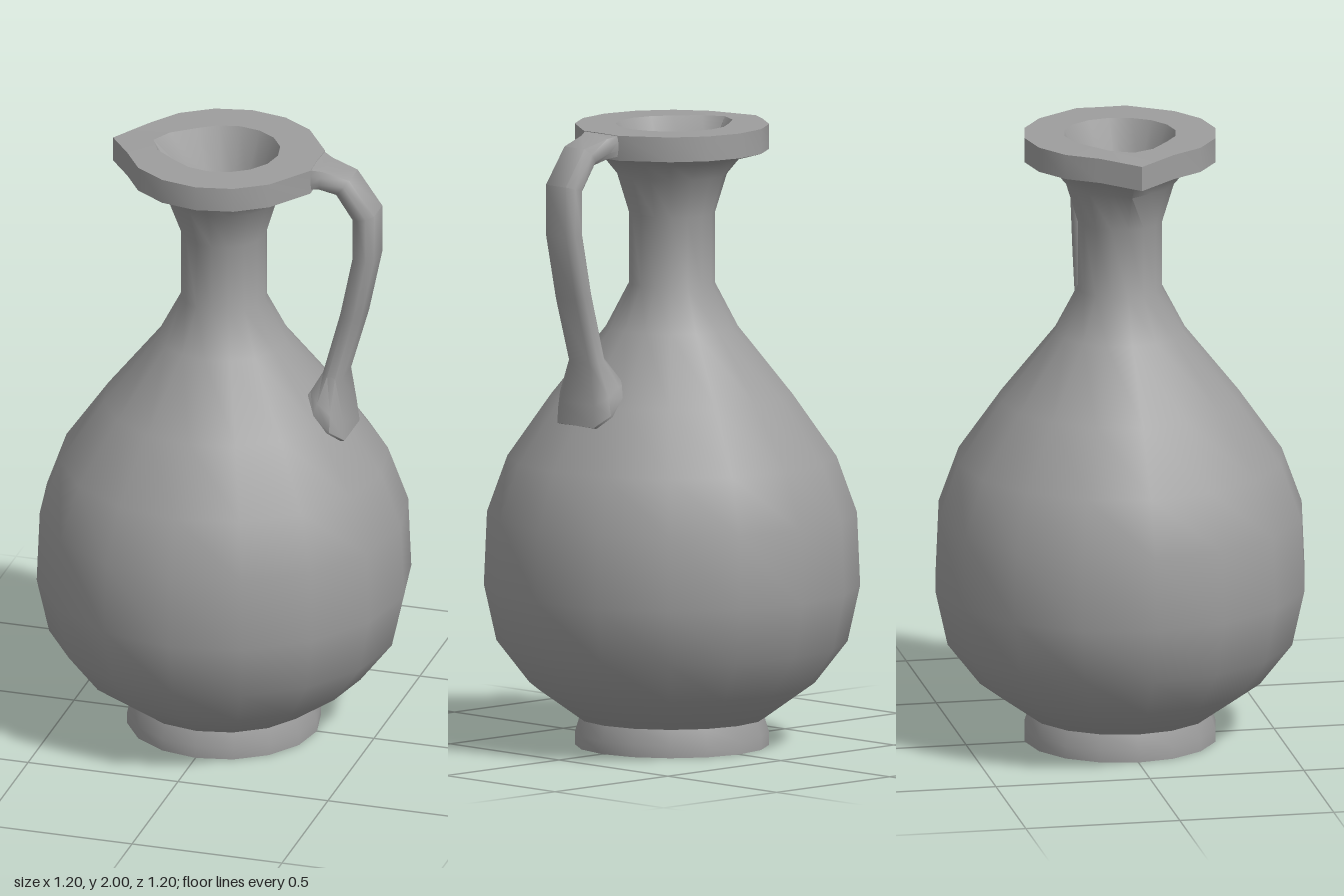
import * as THREE from 'three';
import { toCreasedNormals } from 'three/addons/utils/BufferGeometryUtils.js';

const SIDES = 16;
const CREASE = 0.95;

function lathe(profile) {
  return new THREE.LatheGeometry(profile.map(([r, y]) => new THREE.Vector2(r, y)), SIDES);
}

// Pull the -x side of the mouth into a pouring spout and square off the lip at the handle.
function shapeMouth(geometry) {
  const p = geometry.attributes.position;
  for (let i = 0; i < p.count; i++) {
    const x = p.getX(i), y = p.getY(i), z = p.getZ(i);
    const r = Math.hypot(x, z);
    if (y < 1.8 || r < 0.05) continue;
    const step = Math.round(Math.abs(Math.atan2(z, -x)) / (Math.PI / 8));
    const inner = y > 1.95 && r < 0.25;
    const outer = r > 0.3;
    if (step === 0) p.setX(i, x - (inner ? 0.055 : outer ? 0.06 : 0.03));
    if (step === 0 && outer) p.setY(i, y - 0.01);
    if (step === 1 && inner) p.setX(i, x - 0.035);
    if (step === 7 && outer) p.setXYZ(i, 0.313, y, Math.sign(z) * 0.08);
  }
  return geometry;
}

// Loft eight-sided rings; each section is [outerX, outerY, innerX, innerY, halfWidth, squareness].
function loft(sections) {
  const n = 8, pos = [], index = [];
  for (const [ox, oy, ix, iy, w, q = 0.68] of sections) {
    const ring = [[1, q], [0.4, 1], [-0.4, 1], [-1, q], [-1, -q], [-0.4, -1], [0.4, -1], [1, -q]];
    for (const [t, s] of ring) {
      pos.push((ox + ix + t * (ox - ix)) / 2, (oy + iy + t * (oy - iy)) / 2, s * w);
    }
  }
  for (let j = 0; j < sections.length - 1; j++) {
    for (let i = 0; i < n; i++) {
      const a = j * n + i, b = j * n + (i + 1) % n;
      index.push(a, b, a + n, b, b + n, a + n);
    }
  }
  // End caps
  const last = (sections.length - 1) * n;
  for (let i = 1; i < n - 1; i++) {
    index.push(0, i + 1, i, last, last + i, last + i + 1);
  }
  const g = new THREE.BufferGeometry();
  g.setAttribute('position', new THREE.Float32BufferAttribute(pos, 3));
  g.setIndex(index);
  return g;
}

export function createModel() {
  const group = new THREE.Group();
  const material = new THREE.MeshStandardMaterial({ color: 0x9e9e9e });
  const add = (name, geometry) => {
    const mesh = new THREE.Mesh(toCreasedNormals(geometry, CREASE), material);
    mesh.name = name;
    group.add(mesh);
  };

  // Low ring foot with a closed base
  add('foot', lathe([[0, 0], [0.31, 0], [0.31, 0.04], [0.295, 0.09]]));

  // Belly, neck, flared lip and the hollow of the mouth
  add('vessel', shapeMouth(lathe([
    [0, 0.09], [0.3, 0.09], [0.455, 0.2], [0.56, 0.335], [0.6, 0.515], [0.59, 0.75],
    [0.525, 0.93], [0.385, 1.13], [0.21, 1.35], [0.137, 1.49], [0.137, 1.715],
    [0.175, 1.84], [0.22, 1.895], [0.31, 1.92], [0.31, 2],
    [0.18, 2], [0.115, 1.85], [0.073, 1.7], [0, 1.7],
  ])));

  // Strap handle from the lip down to a broad foot on the shoulder
  add('handle', loft([
    [0.29, 1.999, 0.29, 1.932, 0.08, 0.95],
    [0.315, 1.998, 0.313, 1.932, 0.078, 0.95],
    [0.345, 1.99, 0.335, 1.927, 0.068, 0.85],
    [0.432, 1.965, 0.388, 1.91, 0.067],
    [0.514, 1.85, 0.442, 1.83, 0.067],
    [0.514, 1.69, 0.442, 1.69, 0.067],
    [0.47, 1.48, 0.402, 1.495, 0.067],
    [0.41, 1.27, 0.345, 1.285, 0.067],
    [0.42, 1.14, 0.312, 1.225, 0.112],
    [0.427, 1.07, 0.295, 1.2, 0.122],
    [0.36, 1.05, 0.25, 1.16, 0.11],
  ]));

  return group;
}
